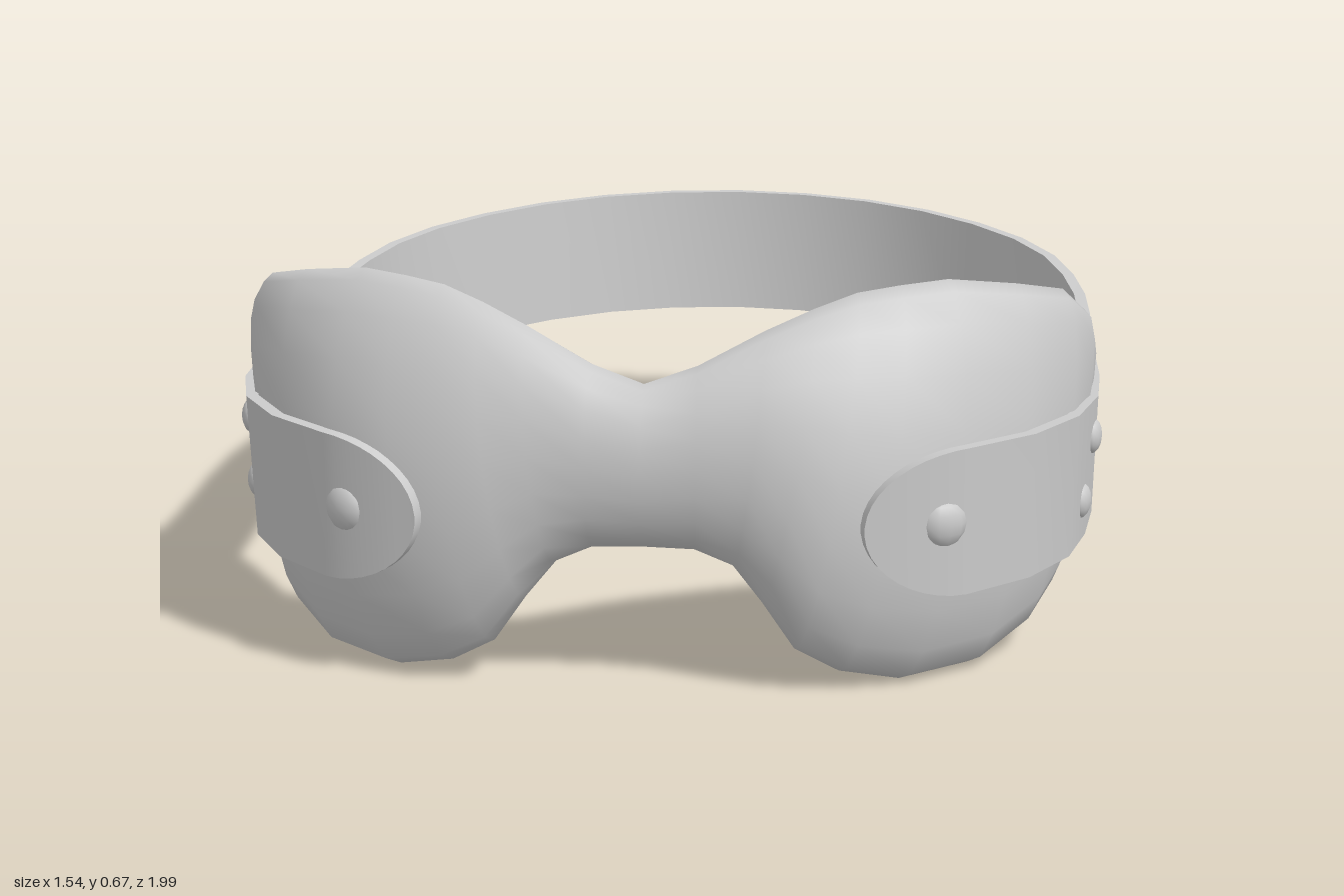
import * as THREE from 'three';
import { toCreasedNormals } from 'three/addons/utils/BufferGeometryUtils.js';

const V = (x, y, z) => new THREE.Vector3(x, y, z);
const material = new THREE.MeshStandardMaterial({ color: 0xcccccc });

// Skin a list of rings (equal point counts) and close both ends
function loft(rings) {
  const n = rings[0].length, index = [];
  for (let i = 0; i < rings.length - 1; i++) {
    for (let j = 0; j < n; j++) {
      const a = i * n + j, b = i * n + (j + 1) % n;
      index.push(a, a + n, b, b, a + n, b + n);
    }
  }
  const end = (rings.length - 1) * n;
  for (let j = 1; j < n - 1; j++) {
    index.push(0, j, j + 1, end, end + j + 1, end + j);
  }
  const geometry = new THREE.BufferGeometry().setFromPoints(rings.flat());
  geometry.setIndex(index);
  geometry.computeVertexNormals();
  return geometry;
}

// Horizontal outward direction for a path tangent
const outward = (t) => V(-t.z, 0, t.x).normalize();

function mesh(geometry, name) {
  const m = new THREE.Mesh(geometry, material);
  m.name = name;
  return m;
}

// Padded mask: half stations from the bridge to the tip,
// [lower edge point, upper edge point, thickness, outward bulge]
function maskGeometry() {
  const half = [
    [V(0, 0.24, 0.9), V(0, 0.52, 0.9), 0.165, 0],
    [V(0.085, 0.237, 0.9), V(0.09, 0.552, 0.895), 0.168, 0.002],
    [V(0.15, 0.21, 0.905), V(0.2, 0.608, 0.868), 0.172, 0.012],
    [V(0.2, 0.15, 0.915), V(0.28, 0.64, 0.835), 0.172, 0.028],
    [V(0.255, 0.07, 0.915), V(0.35, 0.663, 0.808), 0.172, 0.038],
    [V(0.33, 0.028, 0.9), V(0.42, 0.67, 0.775), 0.17, 0.04],
    [V(0.43, 0.001, 0.85), V(0.5, 0.674, 0.735), 0.165, 0.042],
    [V(0.545, 0.003, 0.755), V(0.615, 0.655, 0.67), 0.15, 0.015],
    [V(0.625, 0.042, 0.655), V(0.695, 0.63, 0.59), 0.14, -0.008],
    [V(0.668, 0.085, 0.56), V(0.735, 0.575, 0.505), 0.12, -0.022],
    [V(0.7, 0.16, 0.45), V(0.748, 0.51, 0.415), 0.09, -0.025],
    [V(0.713, 0.27, 0.35), V(0.73, 0.43, 0.355), 0.045, -0.015],
  ];
  const flip = (p) => V(-p.x, p.y, p.z);
  const mirrored = half.slice(1).reverse()
    .map(([low, high, ...rest]) => [flip(low), flip(high), ...rest]);
  const stations = [...mirrored, ...half];
  const middles = stations.map(([low, high]) => low.clone().lerp(high, 0.5));
  const sides = 20, last = stations.length - 1;
  const rings = stations.map(([low, high, thick, bulge], i) => {
    const before = middles[Math.max(i - 1, 0)];
    const after = middles[Math.min(i + 1, last)];
    const out = outward(after.clone().sub(before));
    return Array.from({ length: sides }, (_, k) => {
      const a = (k / sides) * Math.PI * 2;
      const s = Math.sin(a), c = Math.cos(a);
      // fuller below, more sloping towards the brow
      const round = s > 0 ? 1.1 : 0.8;
      const d = (thick / 2) * Math.sign(c) * Math.abs(c) ** round + bulge * c * c;
      return low.clone().lerp(high, (1 + s) / 2).addScaledVector(out, d);
    });
  });
  return loft(rings);
}

// Outer line of the strap, from the left front end round the back of the head
const strapHalf = [
  [0.375, 0.995], [0.45, 0.967], [0.53, 0.925], [0.62, 0.85], [0.7, 0.74],
  [0.748, 0.62], [0.766, 0.5], [0.768, 0.4], [0.764, 0.28], [0.757, 0.1],
  [0.756, -0.12], [0.735, -0.33], [0.675, -0.55], [0.57, -0.72],
  [0.41, -0.87], [0.22, -0.965],
];
const strapCurve = new THREE.CatmullRomCurve3([
  ...strapHalf.map(([x, z]) => V(x, 0, z)),
  V(0, 0, -1),
  ...strapHalf.slice().reverse().map(([x, z]) => V(-x, 0, z)),
]);

// Outward shift of the strap's lower edge along z
function strapTilt(z) {
  if (z < 0) return 0.015 + 0.04 * z;
  if (z < 0.55) return 0.015 - 0.06 * z;
  return -0.018 * Math.max(0, (1 - z) / 0.45);
}

function strapGeometry() {
  const length = strapCurve.getLength(), endLength = 0.19, thick = 0.022;
  // dense steps along the rounded ends, even steps between them
  const steps = [];
  for (let i = 0; i <= 10; i++) {
    steps.push(endLength * (1 - Math.cos(((i + 0.4) / 10.4) * Math.PI / 2)));
  }
  const distances = [...steps];
  for (let i = 1; i < 32; i++) {
    distances.push(endLength + (length - 2 * endLength) * (i / 32));
  }
  distances.push(...steps.slice().reverse().map((d) => length - d));

  const rings = distances.map((d) => {
    const u = d / length;
    const p = strapCurve.getPointAt(u);
    const out = outward(strapCurve.getTangentAt(u));
    const e = Math.min(1, Math.min(d, length - d) / endLength);
    const h = 0.127 * Math.sqrt(1 - (1 - e) ** 2);
    // the band rises towards the back
    const rise = 0.3 + 0.067 * Math.max(0, (0.4 - p.z) / 1.4) ** 1.5;
    const tilt = strapTilt(p.z);
    const at = (y, offset) => V(p.x + out.x * offset, y, p.z + out.z * offset);
    return [
      at(rise - h, tilt), at(rise + h, 0),
      at(rise + h, -thick), at(rise - h, tilt - thick),
    ];
  });
  return toCreasedNormals(loft(rings), 0.7);
}

// Domed rivet lying on the strap
function rivet(x, y, z, radius, nx, nz, name) {
  const m = mesh(new THREE.SphereGeometry(radius, 12, 8), name);
  m.scale.z = 0.6;
  m.position.set(x, y, z);
  m.rotation.y = Math.atan2(nx, nz);
  return m;
}

export function createModel() {
  const group = new THREE.Group();
  group.name = 'strappedMask';
  group.add(mesh(maskGeometry(), 'paddedMask'));
  group.add(mesh(strapGeometry(), 'strap'));
  for (const s of [1, -1]) {
    const side = s > 0 ? 'left' : 'right';
    group.add(rivet(s * 0.503, 0.3, 0.924, 0.044, s * 0.55, 0.83, side + 'FrontRivet'));
    group.add(rivet(s * 0.752, 0.354, 0.533, 0.032, s, 0.2, side + 'UpperSideRivet'));
    group.add(rivet(s * 0.735, 0.247, 0.575, 0.032, s, 0.25, side + 'LowerSideRivet'));
  }
  return group;
}
